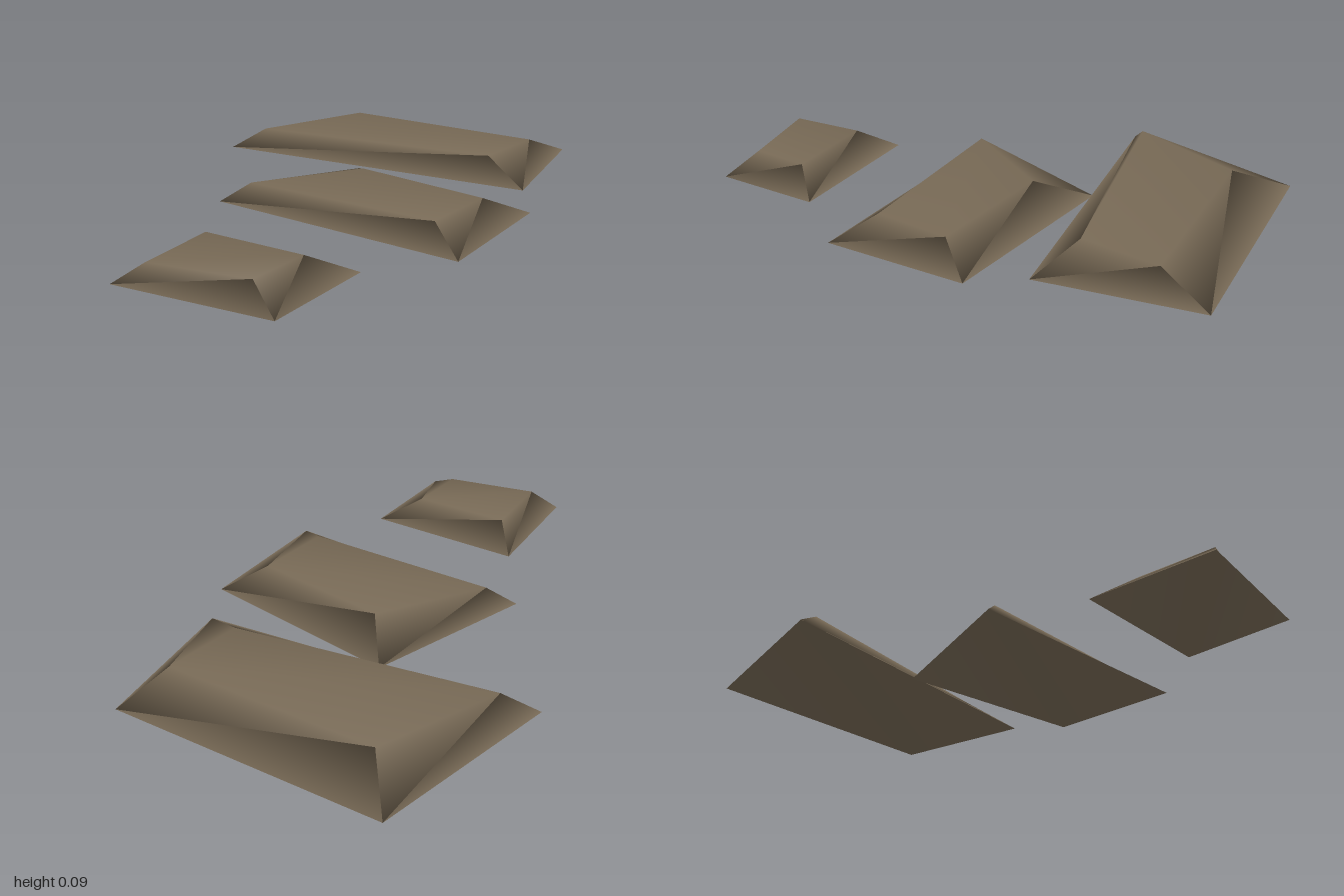
import * as THREE from 'three';

// Each slab: footprint and smaller top as four [x, z] corners, counter-clockwise from above
const SLABS = [
  { name: 'largeBackSlab', y0: 0.01, y1: 0.09,
    base: [[-0.675, -0.34], [0.585, -0.34], [0.585, -0.91], [-0.42, -1.0]],
    top: [[-0.55, -0.4], [0.41, -0.45], [0.49, -0.73], [-0.3, -0.8]] },
  { name: 'middleSlab', y0: 0, y1: 0.073,
    base: [[-0.385, 0.23], [0.59, 0.375], [0.67, -0.15], [-0.09, -0.34]],
    top: [[-0.28, 0.18], [0.46, 0.25], [0.53, -0.03], [0.02, -0.145]] },
  { name: 'smallFrontSlab', y0: 0.004, y1: 0.078,
    base: [[-0.293, 1.0], [0.275, 1.0], [0.35, 0.59], [-0.245, 0.53]],
    top: [[-0.19, 0.955], [0.16, 0.92], [0.21, 0.7], [-0.16, 0.67]] },
];

// Closed tapered block with shared corners, so the shading is smooth
function slabGeometry({ base, top, y0, y1 }) {
  const positions = [
    ...base.flatMap(([x, z]) => [x, y0, z]),
    ...top.flatMap(([x, z]) => [x, y1, z]),
  ];
  const index = [4, 5, 6, 4, 6, 7, 0, 2, 1, 0, 3, 2];
  for (let i = 0; i < 4; i++) {
    const j = (i + 1) % 4;
    index.push(i, j, j + 4, i, j + 4, i + 4);
  }
  const geometry = new THREE.BufferGeometry();
  geometry.setAttribute('position', new THREE.Float32BufferAttribute(positions, 3));
  geometry.setIndex(index);
  geometry.computeVertexNormals();
  return geometry;
}

export function createModel() {
  const group = new THREE.Group();
  group.name = 'steppingStones';
  const stone = new THREE.MeshStandardMaterial({ color: 0x776955 });
  stone.name = 'brownStone';
  for (const slab of SLABS) {
    const mesh = new THREE.Mesh(slabGeometry(slab), stone);
    mesh.name = slab.name;
    group.add(mesh);
  }
  return group;
}
